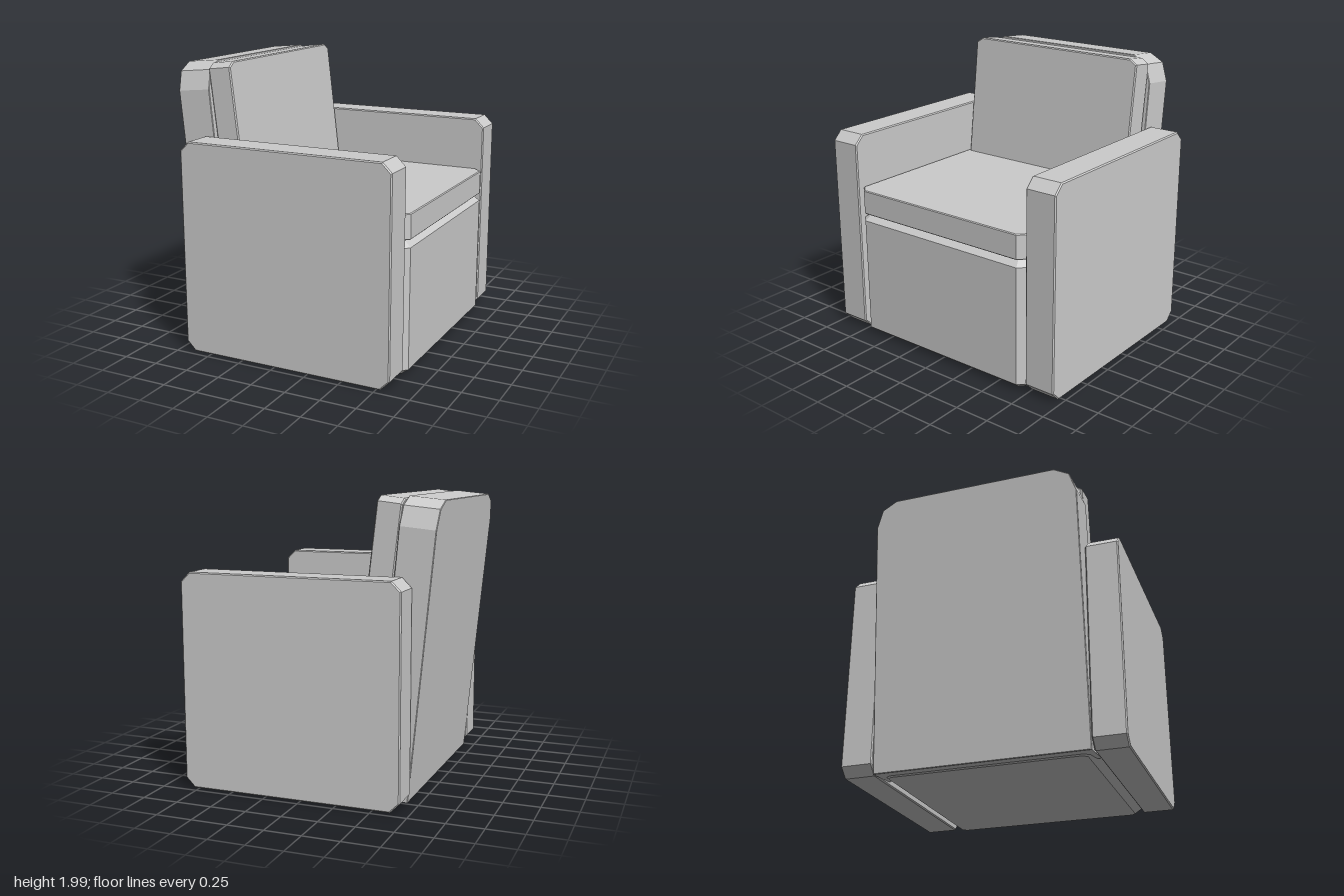
import * as THREE from 'three';

const material = new THREE.MeshStandardMaterial({ color: 0xcccccc, flatShading: true });

// Extrudes an outline from 0 to depth along z, bevelling both rims inward.
function slab(points, depth, inset, rise) {
  const shape = new THREE.Shape(points.map(([x, y]) => new THREE.Vector2(x, y)));
  const geometry = new THREE.ExtrudeGeometry(shape, {
    depth: depth - 2 * rise, bevelEnabled: true, bevelSegments: 1,
    bevelSize: inset, bevelOffset: -inset, bevelThickness: rise,
  });
  return geometry.translate(0, 0, rise);
}

// Rectangle with all four corners cut off.
function cutRect(x0, y0, x1, y1, c) {
  return [
    [x0 + c, y0], [x1 - c, y0], [x1, y0 + c], [x1, y1 - c],
    [x1 - c, y1], [x0 + c, y1], [x0, y1 - c], [x0, y0 + c],
  ];
}

// Closes the right half of an outline with its mirror image.
function mirrored(half) {
  return [...half, ...half.map(([x, y]) => [-x, y]).reverse()];
}

export function createModel() {
  const group = new THREE.Group();
  const add = (name, geometry) => {
    const mesh = new THREE.Mesh(geometry, material);
    mesh.name = name;
    group.add(mesh);
    return mesh;
  };

  // Block arms on both sides
  const armOutline = cutRect(-0.69, 0.01, 0.845, 1.49, 0.065);
  add('leftArm', slab(armOutline, 0.225, 0.008, 0.008).translate(0, 0, 0.74));
  add('rightArm', slab(armOutline, 0.225, 0.008, 0.008).translate(0, 0, -0.965));

  // Base with wide chamfers, and the seat cushion resting on it
  const plan = cutRect(-0.63, -0.735, 0.855, 0.735, 0.06);
  add('base', slab(plan, 0.925, 0.055, 0.045).rotateX(-Math.PI / 2).translate(0, 0.005, 0));
  add('seatCushion', slab(plan, 0.175, 0.006, 0.006).rotateX(-Math.PI / 2).translate(0, 0.937, 0));

  // Leaning back frame with rounded-off top corners
  const frame = mirrored([[0.735, 0], [0.735, 1.79], [0.69, 1.92], [0.585, 1.975]]);
  const back = add('backFrame', slab(frame, 0.245, 0.004, 0.004).rotateY(Math.PI / 2));
  back.position.set(-0.67, 0.005, 0);
  back.rotation.z = 0.096;

  // Back cushion in front of the frame
  const pad = mirrored([[0.715, 0], [0.715, 0.915], [0.66, 0.95]]);
  const cushion = add('backCushion', slab(pad, 0.17, 0.008, 0.008).rotateY(Math.PI / 2));
  cushion.position.set(-0.504, 1.037, 0);
  cushion.rotation.z = 0.117;

  return group;
}
